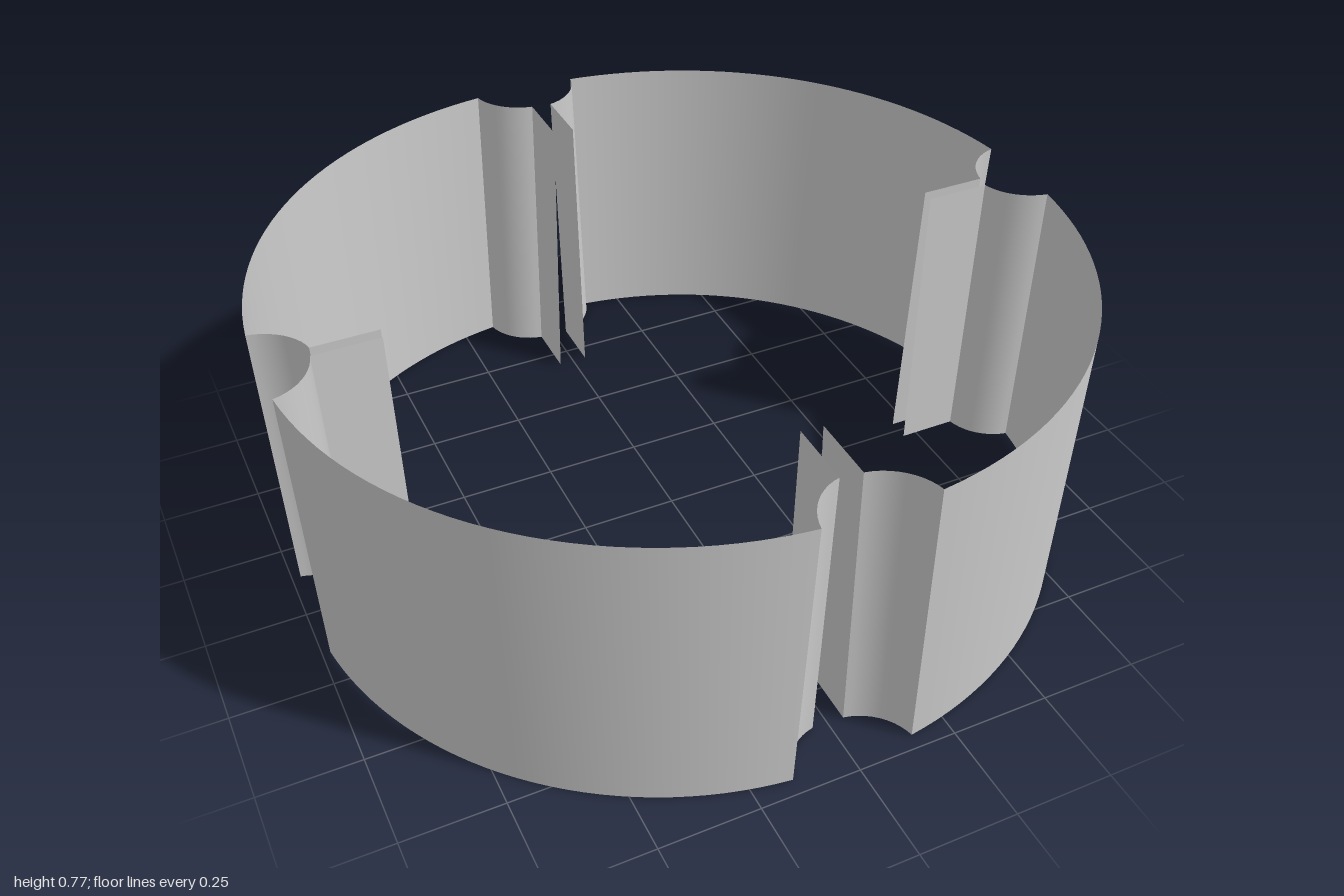
import * as THREE from 'three';

const HEIGHT = 0.77;

// Smooth open sheet between a bottom and a top outline of [x, z] points
function sheet(name, bottom, top, material) {
  const pos = [], index = [];
  top.forEach((p, i) => {
    pos.push(bottom[i][0], 0, bottom[i][1], p[0], HEIGHT, p[1]);
    if (i) {
      const a = 2 * i - 2;
      index.push(a, a + 2, a + 1, a + 1, a + 2, a + 3);
    }
  });
  const g = new THREE.BufferGeometry();
  g.setAttribute('position', new THREE.Float32BufferAttribute(pos, 3));
  g.setIndex(index);
  g.computeVertexNormals();
  const mesh = new THREE.Mesh(g, material);
  mesh.name = name;
  return mesh;
}

// Concave groove from the fin root to the outer corner
function groove(root, corner) {
  const pts = [];
  for (let i = 0; i <= 10; i++) {
    const a = (i / 10) * Math.PI / 2;
    const s = 0.75 * Math.sin(a) + 0.25 * i / 10;
    const c = 0.75 * (1 - Math.cos(a)) + 0.25 * i / 10;
    pts.push([root[0] + (corner[0] - root[0]) * s, root[1] + (corner[1] - root[1]) * c]);
  }
  return pts;
}

// Slightly bulged arc joining the two corners
function arc(p, q) {
  const a0 = Math.atan2(p[0], p[1]), a1 = Math.atan2(q[0], q[1]);
  const r0 = Math.hypot(...p), r1 = Math.hypot(...q);
  const pts = [];
  for (let i = 0; i <= 32; i++) {
    const t = i / 32, a = a0 + (a1 - a0) * t;
    const r = r0 + (r1 - r0) * t + 0.008 * Math.sin(Math.PI * t);
    pts.push([r * Math.sin(a), r * Math.cos(a)]);
  }
  return pts;
}

// Outline pieces of one quarter panel at one level; the second end is mirrored across x = z
function outline(a, b) {
  const swap = (pts) => pts.map(([x, z]) => [z, x]);
  const end = (e) => ({ fin: [[e.fin, e.tip], [e.fin, e.root]], groove: groove([e.fin, e.root], e.corner) });
  const A = end(a), B = end(b);
  return {
    firstFin: A.fin,
    firstGroove: A.groove,
    outerWall: arc(a.corner, [b.corner[1], b.corner[0]]),
    secondGroove: swap(B.groove).reverse(),
    secondFin: swap(B.fin).reverse(),
  };
}

export function createModel() {
  const model = new THREE.Group();
  model.name = 'segmentedRing';
  const material = new THREE.MeshStandardMaterial({ color: 0xcccccc, side: THREE.DoubleSide });

  // Each panel narrows towards the bottom
  const top = outline(
    { fin: 0.011, tip: 0.71, root: 0.877, corner: [0.13, 0.99] },
    { fin: 0.021, tip: 0.705, root: 0.87, corner: [0.128, 0.988] });
  const bottom = outline(
    { fin: 0.031, tip: 0.70, root: 0.858, corner: [0.148, 0.97] },
    { fin: 0.028, tip: 0.70, root: 0.855, corner: [0.14, 0.968] });

  // Four panels, with the front and back gaps a little wider than the side gaps
  for (let k = 0; k < 4; k++) {
    const panel = new THREE.Group();
    panel.name = 'quarterPanel' + (k + 1);
    const turned = new THREE.Group();
    turned.name = 'panelSheets';
    turned.rotation.y = k * Math.PI / 2;
    for (const part of Object.keys(top)) turned.add(sheet(part, bottom[part], top[part], material));
    panel.add(turned);
    panel.position.x = k < 2 ? 0.01 : -0.01;
    panel.scale.z = 0.992;
    model.add(panel);
  }
  return model;
}
